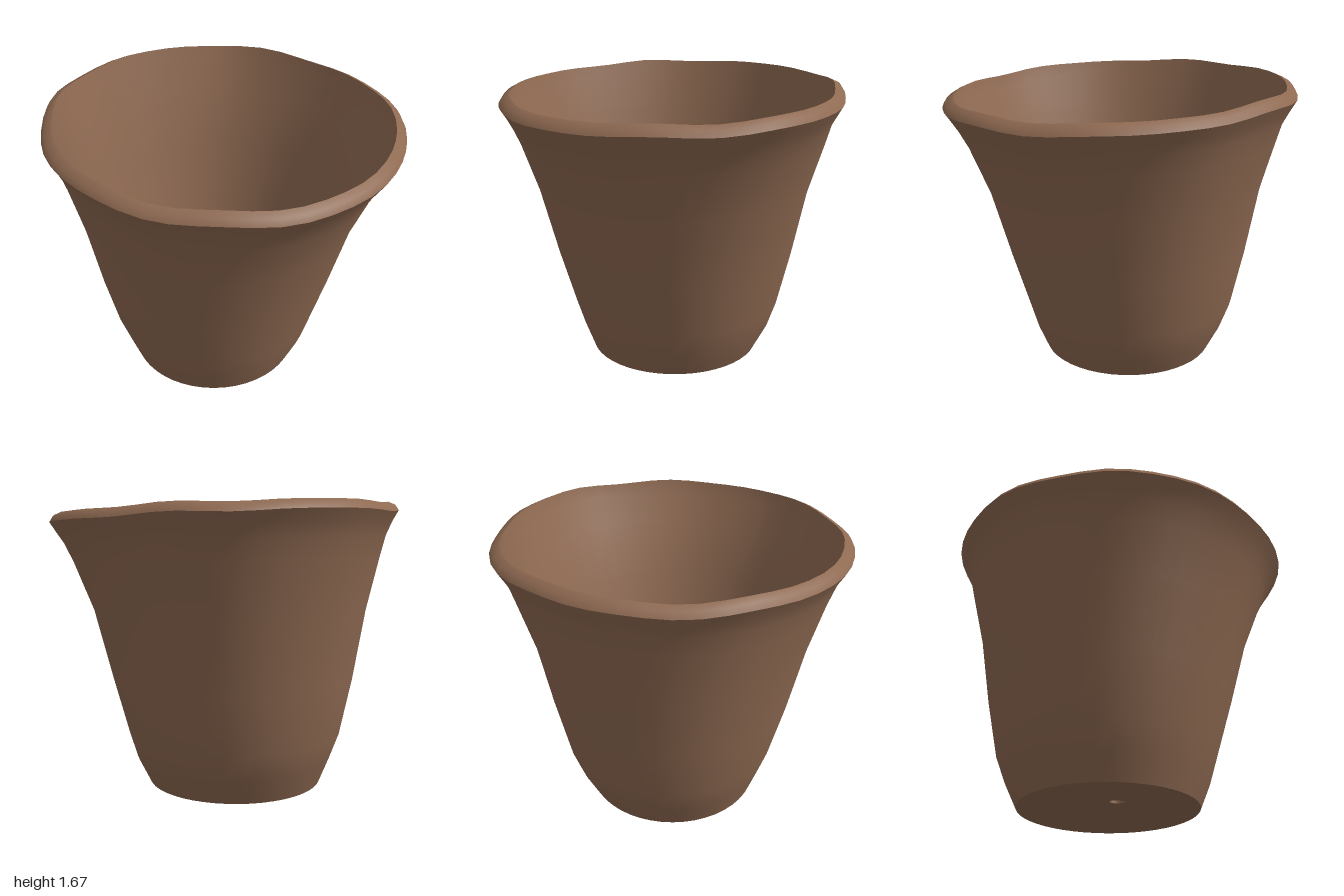
import * as THREE from 'three';

const SEGMENTS = 48;

// Ring: [centre x, centre z, radius, height, unevenness 0..1]
function ringPoint([cx, cz, r, y, w], t) {
  const dent = 0.025 * Math.exp(-(((t - 5.55) / 0.35) ** 2));
  const wobble = 0.005 * Math.sin(5 * t + 1) + 0.004 * Math.sin(9 * t);
  const radius = r + w * (wobble - dent);
  const x = cx + radius * Math.cos(t);
  const z = cz + radius * Math.sin(t);
  // The rim leans up towards the back and right
  const lift = w * (-0.022 * x - 0.038 * z + 0.005 * Math.sin(7 * t + 2) + 0.003 * Math.sin(11 * t));
  return [x, y + lift, z];
}

// Smooth skin through a list of rings; separate skins meet in sharp edges
function loft(name, rings, material) {
  const positions = [];
  const indices = [];
  rings.forEach((ring, i) => {
    for (let j = 0; j < SEGMENTS; j++) {
      positions.push(...ringPoint(ring, (j / SEGMENTS) * Math.PI * 2));
      if (i === rings.length - 1) continue;
      const k = (j + 1) % SEGMENTS;
      const a = i * SEGMENTS + j, b = i * SEGMENTS + k;
      const c = a + SEGMENTS, d = b + SEGMENTS;
      indices.push(a, c, b, b, c, d);
    }
  });
  const geometry = new THREE.BufferGeometry();
  geometry.setAttribute('position', new THREE.Float32BufferAttribute(positions, 3));
  geometry.setIndex(indices);
  geometry.computeVertexNormals();
  const mesh = new THREE.Mesh(geometry, material);
  mesh.name = name;
  return mesh;
}

export function createModel() {
  const clay = new THREE.MeshStandardMaterial({ color: 0x8f6a52 });
  clay.name = 'brown clay';

  // Rings shared by neighbouring skins
  const holeBottom = [-0.175, 0.03, 0.042, 0.03, 0];
  const holeTop = [-0.175, 0.03, 0.047, 0.09, 0];
  const baseEdge = [-0.055, -0.048, 0.512, 0.018, 0];
  const lipOuter = [0, 0, 0.998, 1.575, 1];
  const lipInner = [0, 0, 0.938, 1.625, 1];
  const floorEdge = [-0.04, -0.05, 0.455, 0.11, 0];

  const pot = new THREE.Group();
  pot.name = 'flowerPot';
  pot.add(
    loft('base', [
      holeBottom,
      [-0.165, 0.02, 0.1, 0.008, 0],
      [-0.12, 0, 0.25, 0.002, 0],
      [-0.07, -0.035, 0.42, 0.006, 0],
      baseEdge,
    ], clay),
    loft('outerWall', [
      baseEdge,
      [-0.045, -0.055, 0.578, 0.17, 0],
      [-0.048, -0.06, 0.628, 0.32, 0],
      [-0.042, -0.045, 0.71, 0.65, 0],
      [-0.03, -0.025, 0.797, 1.05, 0.1],
      [-0.012, -0.01, 0.888, 1.34, 0.4],
      [-0.005, 0, 0.928, 1.45, 0.7],
      [0, 0, 0.965, 1.52, 0.9],
      lipOuter,
    ], clay),
    loft('lip', [lipOuter, [0, 0, 0.978, 1.607, 1], lipInner], clay),
    loft('innerWall', [
      lipInner,
      [0, 0, 0.915, 1.54, 0.9],
      [-0.01, -0.01, 0.845, 1.35, 0.4],
      [-0.03, -0.025, 0.75, 1.05, 0.1],
      [-0.04, -0.045, 0.655, 0.65, 0],
      [-0.045, -0.055, 0.565, 0.32, 0],
      [-0.042, -0.052, 0.505, 0.17, 0],
      floorEdge,
    ], clay),
    loft('floor', [floorEdge, [-0.08, -0.03, 0.3, 0.097, 0], [-0.15, 0.01, 0.13, 0.094, 0], holeTop], clay),
    loft('drainHole', [holeTop, holeBottom], clay),
  );
  return pot;
}
